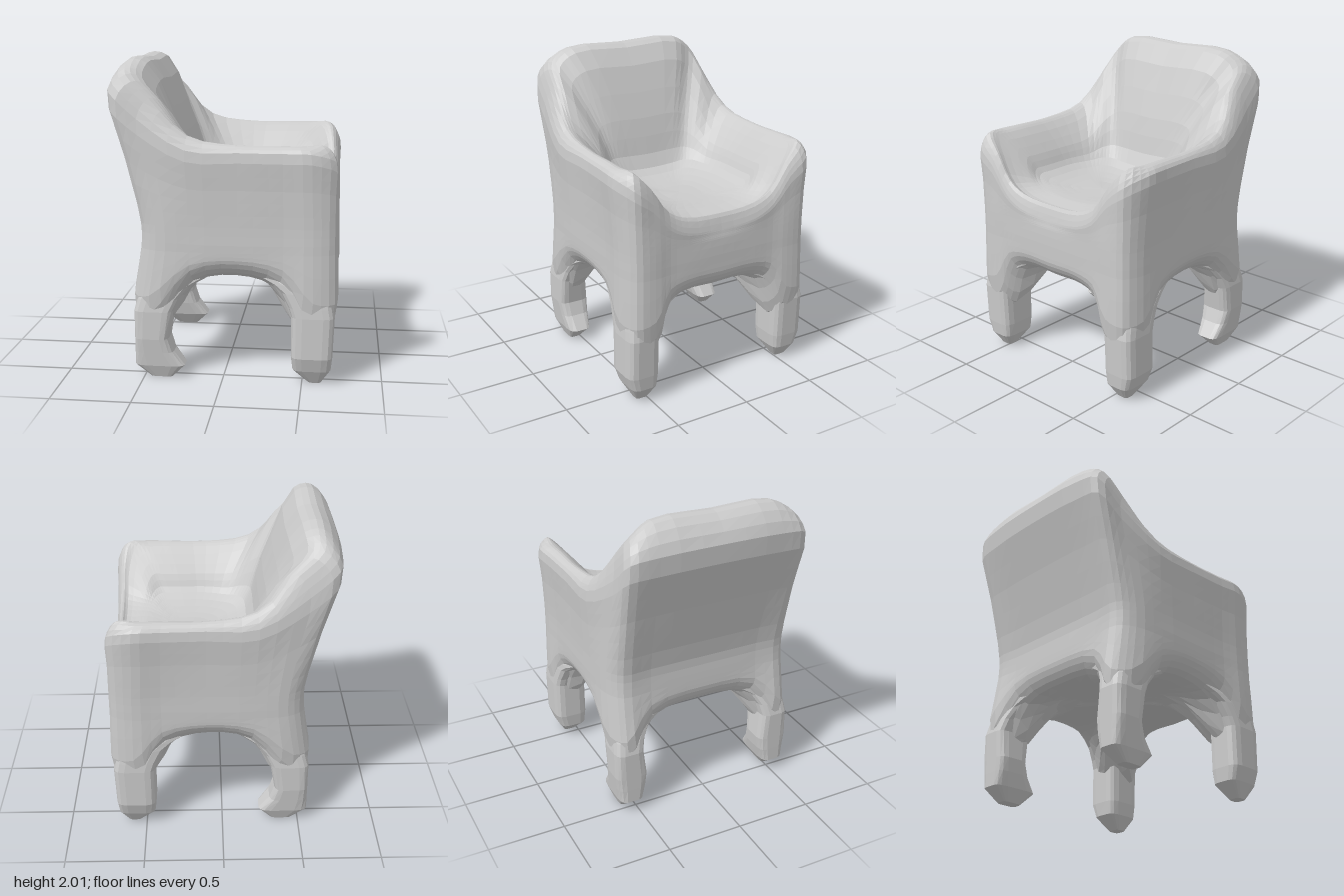
import * as THREE from 'three';

const V = (x, y, z) => new THREE.Vector3(x, y, z);
const material = new THREE.MeshStandardMaterial({ color: 0xcccccc, flatShading: true });
// The -z half is slightly wider than the +z half
const WIDER = 1.035;

// Skin a list of closed rings (equal point counts, bottom to top)
function loft(rings, name) {
  const n = rings[0].length, index = [];
  const position = rings.flat().flatMap(p => [p.x, p.y, p.z]);
  for (let i = 0; i < rings.length - 1; i++) {
    for (let j = 0; j < n; j++) {
      const a = i * n + j, b = i * n + (j + 1) % n;
      index.push(a, a + n, b, b, a + n, b + n);
    }
  }
  const geometry = new THREE.BufferGeometry();
  geometry.setAttribute('position', new THREE.Float32BufferAttribute(position, 3));
  geometry.setIndex(index);
  geometry.computeVertexNormals();
  const mesh = new THREE.Mesh(geometry, material);
  mesh.name = name;
  return mesh;
}

// Half the shell, front centre to back centre:
// lower edge y | wall x z | outer rim x y z | inner rim x y z | seat edge x z
const STATIONS = [
  [0.75, 0.70, 0.00, 0.69, 1.06, 0.00, 0.63, 1.13, 0.00, 0.50, 0.00],
  [0.75, 0.70, 0.24, 0.70, 1.08, 0.24, 0.63, 1.15, 0.24, 0.48, 0.20],
  [0.70, 0.70, 0.37, 0.70, 1.15, 0.37, 0.63, 1.21, 0.36, 0.46, 0.29],
  [0.44, 0.71, 0.48, 0.70, 1.31, 0.49, 0.62, 1.37, 0.47, 0.43, 0.34],
  [0.40, 0.69, 0.60, 0.69, 1.41, 0.61, 0.57, 1.48, 0.56, 0.39, 0.36],
  [0.42, 0.56, 0.65, 0.54, 1.46, 0.67, 0.48, 1.48, 0.56, 0.34, 0.36],
  [0.70, 0.38, 0.64, 0.37, 1.46, 0.66, 0.34, 1.48, 0.56, 0.26, 0.36],
  [0.77, 0.10, 0.64, 0.10, 1.46, 0.65, 0.09, 1.48, 0.56, 0.10, 0.36],
  [0.72, -0.20, 0.64, -0.22, 1.47, 0.65, -0.20, 1.53, 0.54, -0.04, 0.33],
  [0.43, -0.41, 0.62, -0.52, 1.65, 0.60, -0.38, 1.75, 0.52, -0.12, 0.29],
  [0.42, -0.51, 0.55, -0.69, 1.80, 0.57, -0.50, 1.89, 0.49, -0.16, 0.24],
  [0.70, -0.51, 0.37, -0.72, 1.83, 0.40, -0.49, 1.97, 0.38, -0.17, 0.17],
  [0.75, -0.51, 0.00, -0.73, 1.84, 0.00, -0.48, 1.97, 0.00, -0.17, 0.00],
];

// Dished seat surface, curling up to the arms and the back
const seatPoint = (x, z) =>
  V(x, 1.145 + 0.1 * Math.pow(z / 0.4, 3) + 0.35 * Math.max(0, -x), z);

// Section through the shell: underside, outer wall, over the rim, into the seat
function section([edge, wx, wz, rx, ry, rz, ix, iy, iz, sx, sz]) {
  const wall = V(wx, 1, wz), rim = V(rx, ry, rz);
  const inner = V(ix, iy, iz), seat = seatPoint(sx, sz);
  const crest = rim.clone().lerp(inner, 0.5).setY(iy + 0.02);
  const slope = inner.clone().lerp(seat, 0.66).setY(iy + (seat.y - iy) * 0.58);
  // The back legs splay outward below the wall
  const footX = wx * 0.985 - (wx < -0.4 ? 0.14 * (0.77 - edge) : 0);
  return [
    V(0.08, 0.67, 0), V(wx * 0.45, 0.665, wz * 0.45), V(wx * 0.86, edge - 0.09, wz * 0.86),
    V(footX, edge, wz * 0.985), V(wx, 0.84, wz), wall, wall.clone().lerp(rim, 0.5), rim, crest,
    inner, slope, seat, seatPoint(sx * 0.5 + 0.1, sz * 0.5), V(0.2, 1.145, 0),
  ];
}

// Seat, arms, leaning back and arched aprons as one moulded shell
function makeShell() {
  const half = STATIONS.map(section);
  const mirrored = half.slice(1, -1).reverse().map(s => s.map(p => V(p.x, p.y, -p.z * WIDER)));
  const sections = [...half, ...mirrored];
  const around = 72, along = 39;
  const levels = sections[0].map((_, k) => {
    const curve = new THREE.CatmullRomCurve3(sections.map(s => s[k]), true);
    return Array.from({ length: around }, (_, j) => curve.getPoint(j / around));
  });
  const columns = Array.from({ length: around }, (_, j) =>
    new THREE.CatmullRomCurve3(levels.map(level => level[j])));
  const rings = Array.from({ length: along + 1 }, (_, i) =>
    columns.map(curve => curve.getPoint(i / along)));
  return loft(rings, 'seatShell');
}

// Leg rows: height, inner x, outer x, inner z, outer z; the top flares into the vault
const FRONT_LEG = [
  [0.00, 0.54, 0.62, 0.49, 0.57],
  [0.09, 0.44, 0.68, 0.44, 0.62],
  [0.18, 0.43, 0.69, 0.43, 0.65],
  [0.44, 0.43, 0.70, 0.43, 0.65],
  [0.50, 0.41, 0.69, 0.42, 0.645],
  [0.59, 0.36, 0.68, 0.37, 0.635],
  [0.64, 0.29, 0.66, 0.29, 0.62],
  [0.70, 0.15, 0.64, 0.15, 0.59],
];
const BACK_LEG = [
  [0.00, -0.32, -0.46, 0.49, 0.57],
  [0.08, -0.24, -0.56, 0.44, 0.60],
  [0.17, -0.31, -0.56, 0.42, 0.61],
  [0.26, -0.34, -0.56, 0.41, 0.62],
  [0.44, -0.31, -0.56, 0.43, 0.62],
  [0.52, -0.27, -0.54, 0.41, 0.61],
  [0.60, -0.20, -0.51, 0.36, 0.60],
  [0.65, -0.10, -0.49, 0.27, 0.58],
  [0.70, 0.00, -0.46, 0.15, 0.55],
];

// Leg with rounded-square cross-sections
function makeLeg(rows, side, name) {
  const n = 16, soft = t => Math.sign(t) * Math.pow(Math.abs(t), 0.45);
  const rings = rows.map(([y, x0, x1, z0, z1]) => Array.from({ length: n }, (_, j) => {
    const a = (j + 0.5) / n * Math.PI * 2;
    return V((x0 + x1) / 2 + Math.abs(x1 - x0) / 2 * soft(Math.cos(a)), y,
      (side * (z0 + z1) / 2 + (z1 - z0) / 2 * soft(Math.sin(a))) * (side < 0 ? WIDER : 1));
  }));
  // Close the foot with a collapsed ring
  const [y, x0, x1, z0, z1] = rows[0];
  rings.unshift(Array.from({ length: n }, () => V((x0 + x1) / 2, y, side * (z0 + z1) / 2)));
  return loft(rings, name);
}

export function createModel() {
  const model = new THREE.Group();
  model.name = 'armchair';
  model.add(makeShell());
  for (const side of [1, -1]) {
    model.add(makeLeg(FRONT_LEG, side, 'frontLeg'), makeLeg(BACK_LEG, side, 'backLeg'));
  }
  return model;
}
